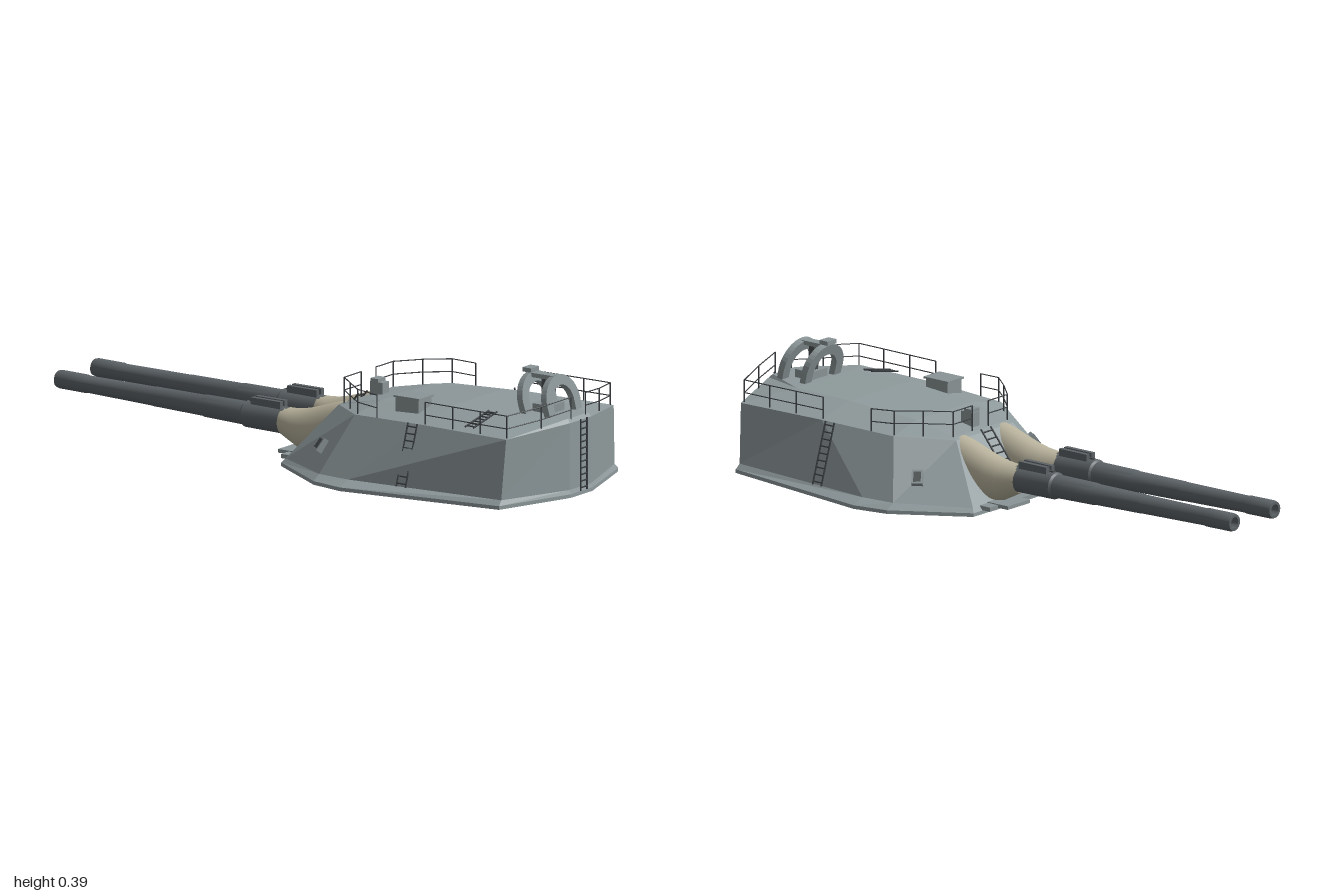
import * as THREE from 'three';
import { toCreasedNormals } from 'three/addons/utils/BufferGeometryUtils.js';

const mat = (color, extra = {}) => new THREE.MeshStandardMaterial({ color, ...extra });
const hullMat = mat(0x8f9a9c, { flatShading: true });
const fitMat = mat(0x8a9496);
const gunMat = mat(0x5c6266);
const bagMat = mat(0xb8b29c, { side: THREE.DoubleSide });
const ironMat = mat(0x3c4043);
const darkMat = mat(0x4a4e50);
const V = (x, y, z) => new THREE.Vector3(x, y, z);

function add(parent, name, geometry, material, x = 0, y = 0, z = 0) {
  const m = new THREE.Mesh(geometry, material);
  m.name = name;
  m.position.set(x, y, z);
  parent.add(m);
  return m;
}
const box = (parent, name, w, h, d, x, y, z, material = fitMat) =>
  add(parent, name, new THREE.BoxGeometry(w, h, d), material, x, y, z);

function group(parent, name) {
  const g = new THREE.Group();
  g.name = name;
  parent.add(g);
  return g;
}

// Thin round bar between two points
function rod(parent, name, a, b, r = 0.002) {
  const m = add(parent, name, new THREE.CylinderGeometry(r, r, a.distanceTo(b), 6), ironMat);
  m.position.copy(a).lerp(b, 0.5);
  m.quaternion.setFromUnitVectors(V(0, 1, 0), b.clone().sub(a).normalize());
}

// Ladder from a to b, half its width given by the vector side
function ladder(parent, name, a, b, side, rungs) {
  const g = group(parent, name);
  for (const s of [-1, 1])
    rod(g, 'ladderRail', a.clone().addScaledVector(side, s), b.clone().addScaledVector(side, s), 0.003);
  for (let i = 0; i < rungs; i++) {
    const p = a.clone().lerp(b, (i + 0.5) / rungs);
    rod(g, 'rung', p.clone().sub(side), p.clone().add(side), 0.0025);
  }
}

// Railing: each point is the foot of a post and carries its top height
function railing(parent, name, posts) {
  const g = group(parent, name);
  posts.forEach(([x, y, z, top], i) => {
    rod(g, 'post', V(x, y, z), V(x, top, z), 0.0025);
    if (!i) return;
    const [px, , pz, pTop] = posts[i - 1];
    for (const drop of [0, 0.042]) rod(g, 'rail', V(px, pTop - drop, pz), V(x, top - drop, z), 0.0018);
  });
}

// Faceted armour: half outlines (front to rear) mirrored into closed rings
function hullGeometry() {
  const halves = [
    [[0.24, 0, -0.025], [0.39, 0, 0.21], [0.413, 0, 0.33], [0.328, 0, 0.895], [0.06, 0, 0.985]],
    [[0.24, 0.012, -0.025], [0.39, 0.012, 0.21], [0.413, 0.012, 0.33], [0.328, 0.012, 0.895], [0.06, 0.012, 0.985]],
    [[0.23, 0.025, -0.015], [0.36, 0.03, 0.21], [0.37, 0.03, 0.33], [0.312, 0.028, 0.892], [0.06, 0.025, 0.98]],
    [[0.14, 0.205, 0.13], [0.268, 0.218, 0.285], [0.287, 0.226, 0.57], [0.296, 0.225, 0.9], [0.06, 0.245, 0.982]],
    [[0.135, 0.212, 0.145], [0.14, 0.243, 0.3], [0.15, 0.261, 0.57], [0.14, 0.26, 0.8], [0.055, 0.257, 0.97]],
  ];
  const n = 10, pos = [], idx = [];
  for (const h of halves) {
    for (const p of h) pos.push(...p);
    for (const [x, y, z] of [...h].reverse()) pos.push(-x, y, z);
  }
  for (let r = 0; r < halves.length - 1; r++)
    for (let i = 0; i < n; i++) {
      const a = r * n + i, b = r * n + (i + 1) % n;
      idx.push(a, a + n, b, a + n, b + n, b);
    }
  const top = (halves.length - 1) * n;
  for (let k = 0; k < 4; k++) {
    const R = k, R2 = k + 1, L = 9 - k, L2 = 8 - k;
    idx.push(top + L, top + L2, top + R2, top + L, top + R2, top + R);
    idx.push(L, R2, L2, L, R, R2);
  }
  const g = new THREE.BufferGeometry();
  g.setAttribute('position', new THREE.Float32BufferAttribute(pos, 3));
  g.setIndex(idx);
  const flat = g.toNonIndexed();
  flat.computeVertexNormals();
  return flat;
}

// Canvas gun cover: oval sections [z, bottom, top, half width]
function coverGeometry() {
  const sections = [
    [0.14, 0.1, 0.212, 0.055], [0.1, 0.05, 0.203, 0.06], [0.05, 0.025, 0.186, 0.061], [0, 0.022, 0.17, 0.06],
    [-0.04, 0.03, 0.161, 0.057], [-0.075, 0.048, 0.157, 0.052], [-0.11, 0.066, 0.156, 0.046],
  ];
  const n = 20, pos = [], idx = [];
  sections.forEach(([z, lo, hi, w], s) => {
    for (let i = 0; i < n; i++) {
      const a = i / n * Math.PI * 2;
      pos.push(Math.cos(a) * w, (lo + hi) / 2 + Math.sin(a) * (hi - lo) / 2, z);
      if (s === sections.length - 1) continue;
      const p = s * n + i, q = s * n + (i + 1) % n;
      idx.push(p, p + n, q, p + n, q + n, q);
    }
  });
  const g = new THREE.BufferGeometry();
  g.setAttribute('position', new THREE.Float32BufferAttribute(pos, 3));
  g.setIndex(idx);
  g.computeVertexNormals();
  return g;
}

// Stepped barrel with a hollow muzzle, turned along -z
function barrelGeometry() {
  const profile = [[0, 0.06], [0.044, 0.06], [0.044, 0.255], [0.038, 0.262], [0.036, 0.42], [0.034, 0.425],
    [0.032, 0.62], [0.031, 0.625], [0.028, 0.88], [0.03, 0.89], [0.03, 0.99], [0.027, 1], [0.018, 1], [0.017, 0.92], [0, 0.92]];
  const g = new THREE.LatheGeometry(profile.map(([r, d]) => new THREE.Vector2(r, d)), 20);
  return toCreasedNormals(g.rotateX(-Math.PI / 2), 0.6);
}

// Half-ring arch standing on the roof
function archGeometry() {
  const s = new THREE.Shape();
  s.moveTo(0.088, -0.035);
  s.lineTo(0.09, 0);
  s.absarc(0, 0, 0.09, 0, Math.PI, false);
  s.lineTo(-0.088, -0.035);
  s.lineTo(-0.056, -0.035);
  s.lineTo(-0.056, 0);
  s.absarc(0, 0, 0.056, Math.PI, 0, true);
  s.lineTo(0.056, -0.035);
  return new THREE.ExtrudeGeometry(s, { depth: 0.022, bevelEnabled: false, curveSegments: 10 });
}

export function createModel() {
  const model = new THREE.Group();
  model.name = 'gunTurret';
  add(model, 'armourHull', hullGeometry(), hullMat);

  // Twin guns with covers
  const barrel = barrelGeometry(), cover = coverGeometry();
  for (const s of [-1, 1]) {
    const gun = group(model, s < 0 ? 'rightGun' : 'leftGun');
    gun.position.set(s * 0.1, 0, 0);
    add(gun, 'gunCover', cover, bagMat);
    const tube = add(gun, 'barrel', barrel, gunMat, 0, 0.111, 0);
    tube.rotation.x = 0.015;
    for (const x of [-0.013, 0.013]) box(gun, 'sleeveBlock', 0.016, 0.03, 0.115, x, 0.16, -0.172, gunMat);
    box(gun, 'sleeveRib', 0.01, 0.014, 0.12, 0, 0.155, -0.185, darkMat);
    box(gun, 'lowerStep', 0.11, 0.012, 0.085, 0, 0.024, -0.055);
  }
  box(model, 'frontStep', 0.39, 0.014, 0.05, 0, 0.02, -0.032);

  // Ladders
  ladder(model, 'frontLadder', V(0, 0.035, -0.025), V(0, 0.218, 0.125), V(0.024, 0, 0), 9);
  ladder(model, 'rearLadder', V(0, 0.016, 0.994), V(0, 0.252, 0.994), V(0.017, 0, 0), 11);
  ladder(model, 'roofLadder', V(-0.275, 0.24, 0.74), V(-0.145, 0.268, 0.74), V(0, 0, 0.016), 7);
  for (const s of [-1, 1])
    ladder(model, 'sideLadder', V(s * 0.358, 0.03, 0.53), V(s * 0.293, 0.228, 0.53), V(0, 0, 0.018), 9);

  // Roof hatch, sight housing and side sight ports
  box(model, 'roofHatch', 0.07, 0.05, 0.09, -0.183, 0.26, 0.455);
  box(model, 'roofHatchLid', 0.08, 0.006, 0.102, -0.183, 0.287, 0.455);
  box(model, 'sightHousing', 0.034, 0.05, 0.05, 0, 0.238, 0.19);
  box(model, 'sightHood', 0.04, 0.012, 0.03, 0, 0.268, 0.184);
  for (const s of [-1, 1]) {
    const port = group(model, 'sightPort');
    port.position.set(s * 0.289, 0.106, 0.168);
    port.lookAt(s * (0.289 + 0.323), 0.106 + 0.29, 0.168 - 0.228);
    box(port, 'portFrame', 0.036, 0.048, 0.024, 0, 0, 0);
    box(port, 'portOpening', 0.024, 0.034, 0.004, 0, 0, 0.0115, darkMat);
  }

  // Twin arch frame at the rear of the roof
  const frame = group(model, 'archFrame');
  const arch = archGeometry();
  for (const z of [0.81, 0.905]) {
    const a = add(frame, 'arch', arch, fitMat, 0, 0.289, z - 0.011);
    a.rotation.x = -0.26;
  }
  box(frame, 'archBase', 0.08, 0.036, 0.07, 0, 0.267, 0.855);
  box(frame, 'archPost', 0.02, 0.1, 0.02, 0, 0.32, 0.845, darkMat);
  box(frame, 'topBridge', 0.034, 0.014, 0.1, 0, 0.371, 0.84);
  box(frame, 'topCap', 0.044, 0.014, 0.035, 0, 0.386, 0.785);

  // Railings on both sides
  for (const s of [-1, 1]) {
    railing(model, 'rearRailing', [
      [s * 0.28, 0.225, 0.57, 0.3], [s * 0.282, 0.225, 0.68, 0.3], [s * 0.284, 0.225, 0.79, 0.3],
      [s * 0.285, 0.225, 0.895, 0.3], [s * 0.16, 0.235, 0.94, 0.312], [s * 0.04, 0.25, 0.972, 0.326],
    ]);
    railing(model, 'frontRailing', [
      [s * 0.272, 0.22, 0.375, 0.295], [s * 0.26, 0.217, 0.29, 0.3],
      [s * 0.2, 0.212, 0.218, 0.3], [s * 0.135, 0.207, 0.148, 0.296], [s * 0.04, 0.207, 0.148, 0.296],
    ]);
  }
  return model;
}
